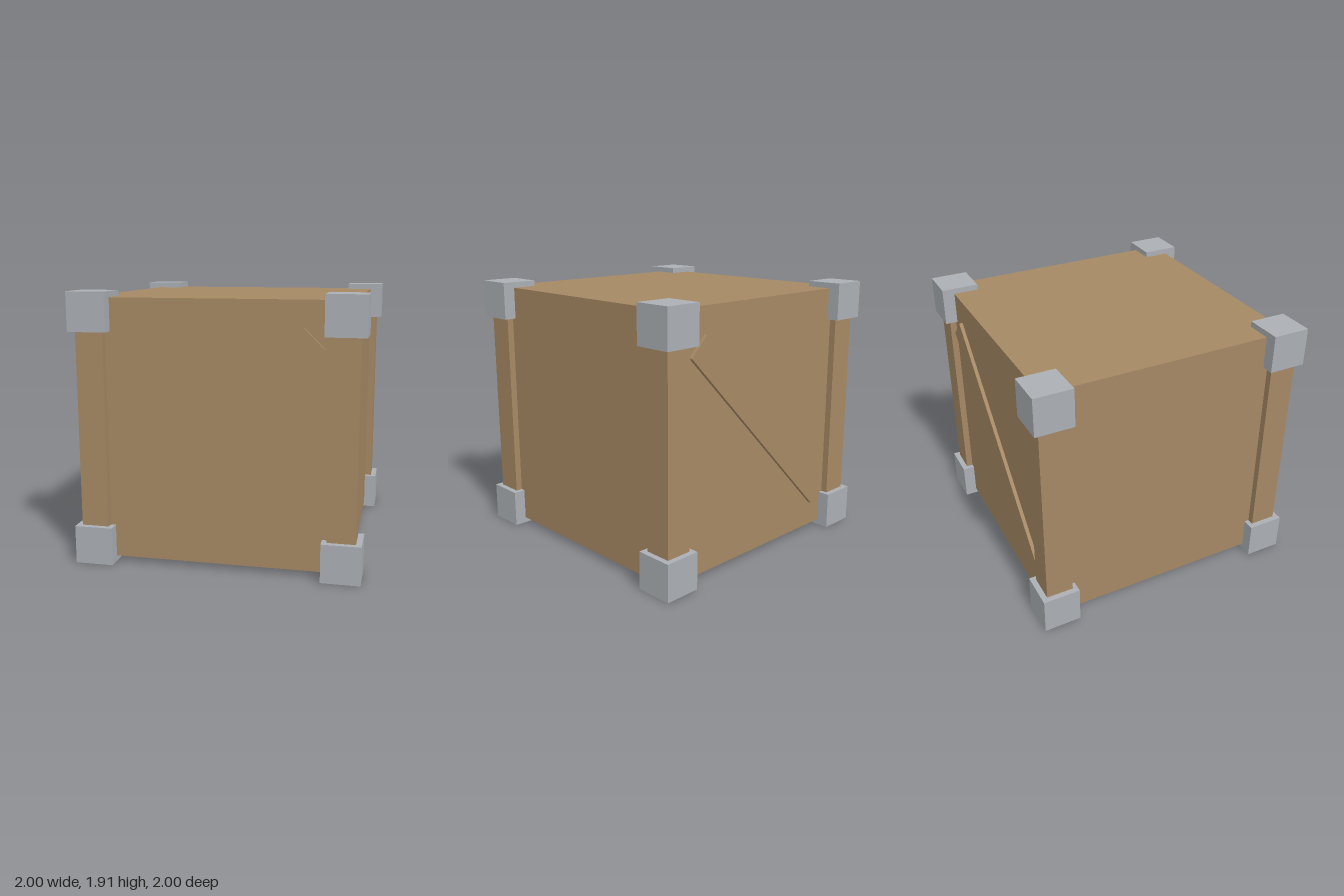
import * as THREE from 'three';

export function createModel() {
  const wood = new THREE.MeshStandardMaterial({ color: 0xa58864 });
  wood.name = 'wood';
  const metal = new THREE.MeshStandardMaterial({ color: 0xabafb4 });
  metal.name = 'metal';

  const crate = new THREE.Group();
  crate.name = 'crate';
  const midY = 0.953;

  function addBox(name, material, size, position) {
    const mesh = new THREE.Mesh(new THREE.BoxGeometry(...size), material);
    mesh.name = name;
    mesh.position.set(...position);
    crate.add(mesh);
    return mesh;
  }

  // Main box
  addBox('body', wood, [1.824, 1.824, 1.824], [0, midY, 0]);

  // Corner posts with a metal cap at each end
  for (const x of [-1, 1]) {
    for (const z of [-1, 1]) {
      addBox('cornerPost', wood, [0.195, 1.5, 0.195], [x * 0.8625, midY, z * 0.8625]);
      for (const y of [-1, 1]) {
        addBox('cornerCap', metal, [0.27, 0.27, 0.27], [x * 0.865, midY + y * 0.818, z * 0.865]);
      }
    }
  }

  // Diagonal braces on front and back, both rising towards +x
  for (const [name, z] of [['frontBrace', 1], ['backBrace', -1]]) {
    const brace = addBox(name, wood, [1.872, 0.194, 0.06], [0, midY + 0.002, z * 0.908]);
    brace.rotation.z = Math.PI / 4;
  }

  return crate;
}
